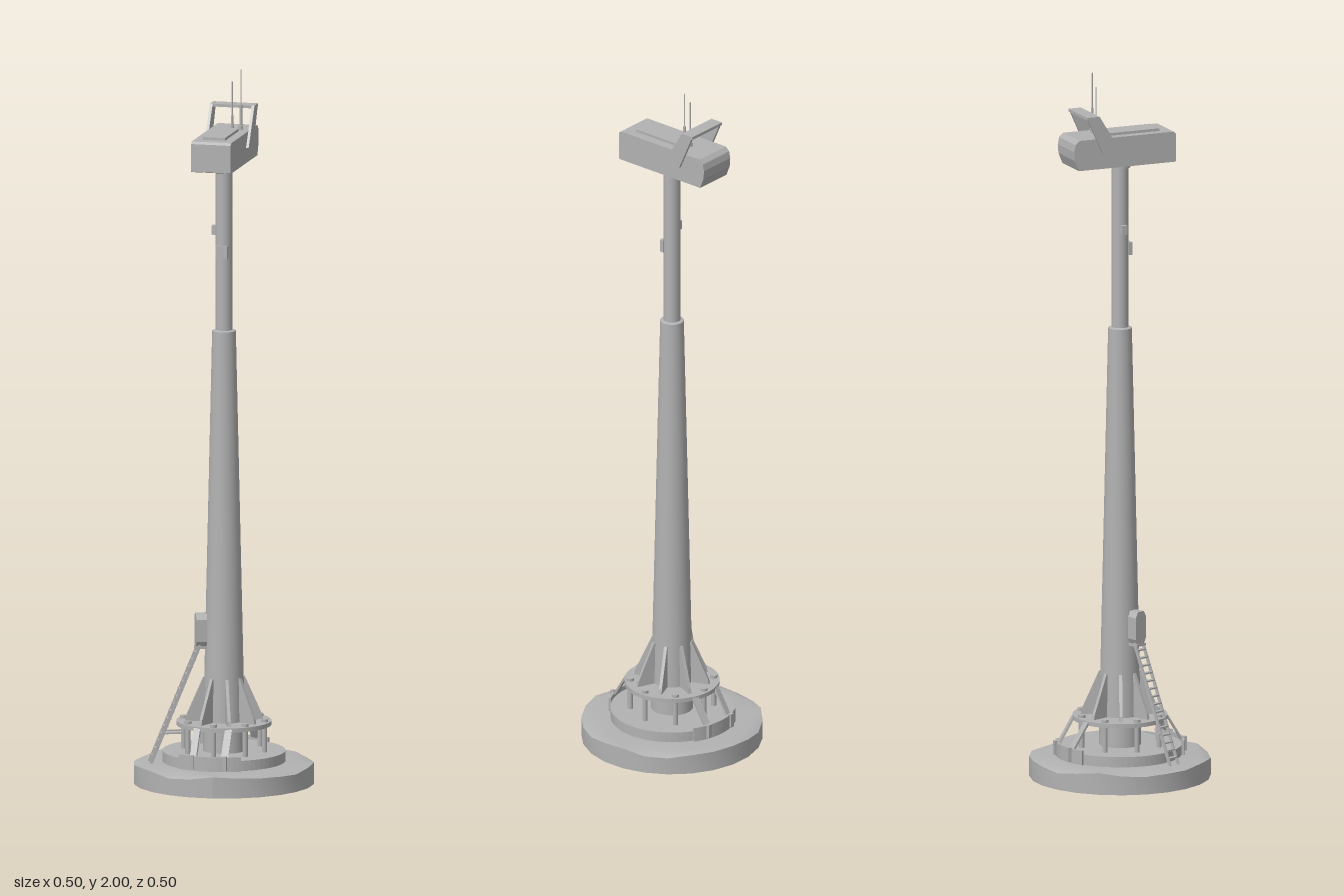
import * as THREE from 'three';

const grey = new THREE.MeshStandardMaterial({ color: 0xb2b2b2, side: THREE.DoubleSide });
grey.name = 'painted grey steel';

function add(parent, name, geometry, x = 0, y = 0, z = 0) {
  const m = new THREE.Mesh(geometry, grey);
  m.name = name;
  m.position.set(x, y, z);
  parent.add(m);
  return m;
}
const box = (p, name, w, h, d, x, y, z) => add(p, name, new THREE.BoxGeometry(w, h, d), x, y, z);
const rod = (p, name, r, y0, y1, x, z, n = 12) =>
  add(p, name, new THREE.CylinderGeometry(r, r, y1 - y0, n), x, (y0 + y1) / 2, z);

// group whose local +x points outward at the given angle
function spoke(parent, name, angle) {
  const s = new THREE.Group();
  s.name = name;
  s.rotation.y = angle;
  parent.add(s);
  return s;
}
// square bar between two points, kept level across z
function bar(parent, name, a, b, w, d) {
  const m = box(parent, name, w, Math.hypot(b[0] - a[0], b[1] - a[1]), d,
    (a[0] + b[0]) / 2, (a[1] + b[1]) / 2, (a[2] + b[2]) / 2);
  m.rotation.z = -Math.atan2(b[0] - a[0], b[1] - a[1]);
  return m;
}
// extrude a flat outline centred on its thickness
function plate(points, depth) {
  const shape = new THREE.Shape(points.map(p => new THREE.Vector2(...p)));
  return new THREE.ExtrudeGeometry(shape, { depth, bevelEnabled: false }).translate(0, 0, -depth / 2);
}
const lathe = (pts, n) => new THREE.LatheGeometry(pts.map(p => new THREE.Vector2(...p)), n);

// uneven ground pad, open underneath
function groundPad() {
  const n = 24, pos = [], idx = [];
  const rings = [[0.252, 0], [0.252, 0.054], [0.252, 0.054], [0.225, 0.061], [0.16, 0.061]];
  rings.forEach(([r, y], k) => {
    for (let i = 0; i <= n; i++) {
      const a = ((i + 0.5) / n) * Math.PI * 2;
      const wave = k === 1 || k === 2 ? 0.005 * Math.sin(a * 5) + 0.003 * Math.sin(a * 8 + 1) : 0;
      pos.push(r * Math.sin(a), y + wave, r * Math.cos(a));
    }
  });
  for (const k of [0, 2, 3]) for (let i = 0; i < n; i++) {
    const a = k * (n + 1) + i, b = a + n + 1;
    idx.push(a, a + 1, b, a + 1, b + 1, b);
  }
  const g = new THREE.BufferGeometry();
  g.setAttribute('position', new THREE.Float32BufferAttribute(pos, 3));
  g.setIndex(idx);
  g.computeVertexNormals();
  return g;
}

function buildBase(root) {
  const base = new THREE.Group();
  base.name = 'base';
  root.add(base);
  add(base, 'groundPad', groundPad());
  const ring = (r0, r1, y0, y1) => {
    const s = new THREE.Shape().absarc(0, 0, r1, 0, Math.PI * 2);
    s.holes.push(new THREE.Path().absarc(0, 0, r0, 0, Math.PI * 2, true));
    return new THREE.ExtrudeGeometry(s, { depth: y1 - y0, bevelEnabled: false, curveSegments: 32 })
      .rotateX(-Math.PI / 2).translate(0, y0, 0);
  };
  add(base, 'foundationRing', ring(0.058, 0.171, 0.045, 0.09));
  add(base, 'flange', ring(0.05, 0.132, 0.163, 0.175));

  // bolts and tapered fins around the flange
  for (let i = 0; i < 8; i++) {
    const b = spoke(base, 'boltColumn', i * Math.PI / 4);
    rod(b, 'column', 0.0075, 0.038, 0.17, 0.116, 0);
    rod(b, 'boltHead', 0.01, 0.172, 0.183, 0.116, 0);
    const f = spoke(base, 'finSpoke', (i + 0.5) * Math.PI / 4);
    add(f, 'fin', plate([[0.045, 0.175], [0.109, 0.175], [0.106, 0.19], [0.058, 0.298], [0.045, 0.298]], 0.009));
  }

  // curved kerbs with sloping braces, front and back
  for (const side of [0, Math.PI]) {
    const g = new THREE.Group();
    g.name = 'kerb';
    g.rotation.y = side;
    base.add(g);
    const s = new THREE.Shape();
    const a0 = Math.PI / 3, a1 = Math.PI * 2 / 3;
    s.absarc(0, 0, 0.179, a0, a1, false);
    s.absarc(0, 0, 0.172, a1, a0, true);
    add(g, 'kerbPlate', new THREE.ExtrudeGeometry(s, { depth: 0.042, bevelEnabled: false })
      .rotateX(Math.PI / 2).translate(0, 0.102, 0));
    for (const x of [-0.047, 0.047]) {
      box(g, 'kerbBlock', 0.012, 0.04, 0.01, x, 0.085, 0.175);
      const brace = box(g, 'brace', 0.02, 0.085, 0.006, x * 0.95, 0.135, 0.143);
      brace.rotation.x = -0.55;
      brace.rotation.y = x * 4;
    }
  }
}

function buildTower(root) {
  const tower = new THREE.Group();
  tower.name = 'tower';
  root.add(tower);
  add(tower, 'lowerMast', lathe([[0.059, 0.045], [0.057, 0.2], [0.033, 1.275]], 32));
  add(tower, 'mastShoulder', lathe([[0.033, 1.275], [0.022, 1.278]], 32));
  rod(tower, 'upperMast', 0.0235, 1.27, 1.745, 0, 0, 24);
  rod(tower, 'topCollar', 0.029, 1.732, 1.75, 0, 0, 24);
  // small instruments on the upper mast
  box(tower, 'frontSensor', 0.034, 0.036, 0.012, 0, 1.5, 0.024);
  box(tower, 'sideSensor', 0.012, 0.026, 0.016, -0.028, 1.558, 0);

  // door and stair
  const entry = spoke(tower, 'entry', Math.PI + Math.PI / 8);
  add(entry, 'door', plate([[-0.02, 0.4], [-0.012, 0.385], [0.012, 0.385], [0.02, 0.4],
    [0.02, 0.462], [0.012, 0.478], [-0.012, 0.478], [-0.02, 0.462]], 0.03).rotateY(Math.PI / 2), 0.065, 0, 0);
  box(entry, 'landing', 0.036, 0.006, 0.036, 0.064, 0.383, 0);
  for (const z of [-0.016, 0.016])
    bar(entry, 'stairRail', [0.207, 0.06, z], [0.07, 0.39, z], 0.009, 0.004);
  for (let i = 1; i < 16; i++) {
    const t = i / 16;
    box(entry, 'stairTread', 0.012, 0.004, 0.032, 0.207 - 0.137 * t, 0.06 + 0.33 * t, 0);
  }
  for (const z of [-0.02, 0.02])
    bar(entry, 'stairSupport', [0.115, 0.145, z], [0.172, 0.145, z], 0.005, 0.004);
}

function buildHead(root) {
  const head = new THREE.Group();
  head.name = 'head';
  root.add(head);
  // outlines drawn as (z, y), turned to run across x
  const across = (pts, w) => plate(pts, w).rotateY(-Math.PI / 2);
  add(head, 'housing', across([[0.145, 1.747], [0.145, 1.825], [0.138, 1.831], [-0.148, 1.831],
    [-0.16, 1.82], [-0.164, 1.8], [-0.162, 1.775], [-0.15, 1.745], [0.14, 1.745]], 0.113));
  box(head, 'roofHatch', 0.063, 0.009, 0.15, -0.001, 1.834, 0.03);

  // sloping frame over the rear
  for (const x of [-0.06, 0.06])
    add(head, 'frameLeg', across([[-0.025, 1.788], [-0.08, 1.788], [-0.128, 1.896], [-0.09, 1.896]], 0.008), x);
  box(head, 'frameTop', 0.128, 0.008, 0.038, 0, 1.892, -0.109);

  // masts with thin tips
  for (const [x, r, mid, top] of [[0.03, 0.0055, 1.9, 2], [0.005, 0.0045, 1.87, 1.965]]) {
    rod(head, 'antennaFoot', r * 1.2, 1.83, 1.842, x, -0.071);
    rod(head, 'antennaStem', r * 0.75, 1.83, mid, x, -0.071);
    rod(head, 'antennaTip', 0.0018, mid, top, x, -0.071, 8);
  }
}

export function createModel() {
  const root = new THREE.Group();
  root.name = 'tower model';
  buildBase(root);
  buildTower(root);
  buildHead(root);
  return root;
}
